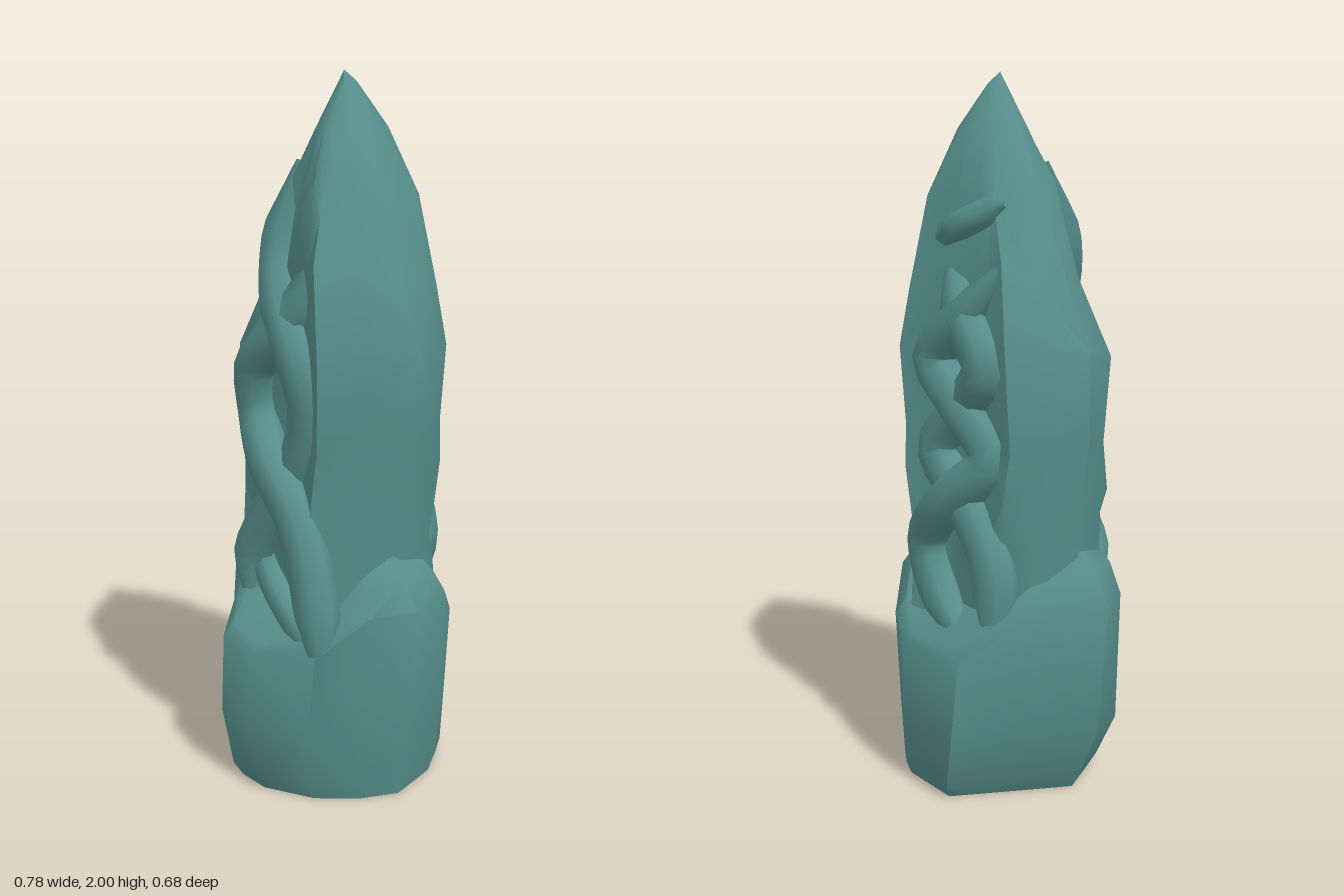
import * as THREE from 'three';
import { toCreasedNormals } from 'three/addons/utils/BufferGeometryUtils.js';

const V = (x, y, z) => new THREE.Vector3(x, y, z);

// Small seeded generator for the chipped, uneven stone
function seeded(s) {
  return () => {
    s = (s * 16807) % 2147483647;
    return s / 2147483647 - 0.5;
  };
}

// Skin rings of points (ordered +x towards +z, bottom to top), closed at both ends
function loft(rings, bottom, top, crease) {
  const n = rings[0].length;
  const pts = rings.flat().concat([bottom, top]);
  const idx = [];
  const b = pts.length - 2, t = pts.length - 1, last = (rings.length - 1) * n;
  for (let i = 0; i < n; i++) {
    const j = (i + 1) % n;
    for (let r = 0; r < rings.length - 1; r++) {
      const o = r * n, u = o + n;
      if ((i + r) % 2) idx.push(o + i, u + i, o + j, o + j, u + i, u + j);
      else idx.push(o + i, u + i, u + j, o + i, u + j, o + j);
    }
    idx.push(b, i, j, t, last + j, last + i);
  }
  const g = new THREE.BufferGeometry().setFromPoints(pts);
  g.setIndex(idx);
  return toCreasedNormals(g, crease);
}

// Carved strand: a tube whose ends taper into the stone
function strandGeometry(points, radius) {
  const curve = new THREE.CatmullRomCurve3(points.map((p) => V(...p)));
  const steps = 32, sides = 8;
  const g = new THREE.TubeGeometry(curve, steps, radius, sides);
  const pos = g.attributes.position;
  const p = V(0, 0, 0);
  for (let i = 0; i < pos.count; i++) {
    const t = Math.floor(i / (sides + 1)) / steps;
    const taper = Math.min(1, 0.2 + 6 * Math.min(t, 1 - t));
    const centre = curve.getPointAt(t);
    p.fromBufferAttribute(pos, i).sub(centre).multiplyScalar(taper).add(centre);
    pos.setXYZ(i, p.x, p.y, p.z);
  }
  return g;
}

export function createModel() {
  const group = new THREE.Group();
  const stone = new THREE.MeshStandardMaterial({ color: 0x568f8c });
  const add = (name, geometry, parent = group) => {
    const mesh = new THREE.Mesh(geometry, stone);
    mesh.name = name;
    parent.add(mesh);
  };

  // Rough boulder base: [x, z, rim height], high at the sides, low at front and back
  const outline = [
    [0.39, 0.03, 0.57], [0.33, 0.15, 0.54], [0.22, 0.26, 0.43], [0.03, 0.34, 0.4], [-0.11, 0.34, 0.42],
    [-0.2, 0.24, 0.5], [-0.3, 0.15, 0.56], [-0.39, -0.01, 0.57], [-0.26, -0.17, 0.53],
    [-0.12, -0.34, 0.42], [0.14, -0.31, 0.42], [0.22, -0.26, 0.45], [0.32, -0.15, 0.55]
  ];
  const baseRand = seeded(4711);
  const baseRing = (kx, kz, height, shift, rough) =>
    outline.map(([x, z, rim]) => {
      const edge = Math.abs(x) > 0.35 || Math.abs(z) > 0.33;
      const chip = edge ? 1 : 1 + baseRand() * rough;
      return V(x * kx * chip + shift, height(rim) + (edge ? 0 : baseRand() * rough), z * kz * chip);
    });
  add('rockBase', loft([
    baseRing(0.74, 0.89, () => 0, 0.03, 0),
    baseRing(0.78, 0.96, () => 0.04, 0.02, 0),
    baseRing(0.91, 1, () => 0.2, 0, 0.07),
    baseRing(1, 0.95, (rim) => rim, 0, 0.05),
    baseRing(0.87, 0.88, (rim) => rim + 0.03 + (rim - 0.4) * 0.3, 0, 0.04),
    baseRing(0.7, 0.72, (rim) => rim + 0.06 + (rim - 0.4) * 0.45, 0, 0.03)
  ], V(0.03, 0, 0), V(0, 0.72, 0), 0.8));

  // Standing stone: [y, left edge x, right edge x, front z, back z]
  const levels = [
    [0.36, -0.28, 0.28, 0.24, -0.24], [0.7, -0.28, 0.285, 0.25, -0.25],
    [0.86, -0.295, 0.3, 0.25, -0.25], [1.03, -0.32, 0.325, 0.24, -0.235],
    [1.27, -0.32, 0.35, 0.25, -0.255], [1.46, -0.225, 0.285, 0.235, -0.235],
    [1.67, -0.13, 0.22, 0.185, -0.185], [1.85, -0.045, 0.135, 0.095, -0.105],
    [1.97, 0.025, 0.075, 0.025, -0.025]
  ];
  // Cross-section with a shallow carved channel in front and back
  const section = [
    [1, 0], [0.83, 0.5], [0.62, 0.95], [0.36, 0.82], [0, 0.76], [-0.32, 0.8], [-0.55, 0.83], [-0.87, 0.45],
    [-1, -0.08], [-0.83, -0.48], [-0.6, -0.82], [-0.34, -0.8], [0, -0.76], [0.34, -0.82], [0.6, -0.95], [0.86, -0.5]
  ];
  const rand = seeded(9173);
  const bodyRings = levels.map(([y, x0, x1, zf, zb]) => {
    const mid = (x0 + x1) / 2, half = (x1 - x0) / 2;
    const fill = THREE.MathUtils.smoothstep(y, 1.55, 1.9);
    return section.map(([sx, sz]) => {
      const edge = Math.abs(sx) > 0.95;
      const chip = edge ? 1 : 1 + rand() * 0.11;
      const dy = !edge && y < 1.8 ? rand() * 0.1 : 0;
      const z = Math.abs(sx) < 0.5 ? THREE.MathUtils.lerp(sz, Math.sign(sz), fill) : sz;
      // the upper stone leans back along its -x flank
      const lean = sx < -0.2 && y > 1.4 ? 0.82 : 1;
      return V(mid + sx * half * chip, y + dy, z * chip * lean * (z > 0 ? zf : -zb));
    });
  });
  add('standingStone', loft(bodyRings, V(0, 0.36, 0), V(0.05, 2, 0.01), 0.85));

  // Intertwined strands carved into the front and back
  const carvings = {
    front: [
      [[0.2, 0.36, 0.22], [0.2, 0.56, 0.225], [0.12, 0.8, 0.225], [-0.01, 0.95, 0.225], [-0.1, 1.07, 0.19],
        [-0.09, 1.2, 0.205], [0.02, 1.31, 0.195], [0.1, 1.43, 0.16], [0.09, 1.6, 0.13]],
      [[-0.14, 0.46, 0.2], [-0.12, 0.64, 0.2], [-0.03, 0.8, 0.185], [0.07, 0.95, 0.175], [0.12, 1.1, 0.18],
        [0.1, 1.24, 0.205], [0.01, 1.38, 0.19], [-0.05, 1.52, 0.145], [-0.05, 1.76, 0.08]],
      [[0.19, 0.42, 0.2], [0.07, 0.5, 0.205], [-0.06, 0.6, 0.19], [-0.13, 0.74, 0.17]]
    ],
    back: [
      [[0.06, 0.4, 0.22], [-0.08, 0.56, 0.2], [-0.13, 0.7, 0.195], [-0.02, 0.84, 0.22], [0.11, 0.97, 0.18],
        [0, 1.11, 0.195], [-0.1, 1.23, 0.195], [0.02, 1.36, 0.185], [0.12, 1.5, 0.13]],
      [[0.13, 0.42, 0.21], [0.14, 0.66, 0.2], [0.02, 0.84, 0.19], [-0.1, 0.97, 0.18], [0, 1.1, 0.175],
        [0.1, 1.22, 0.195], [0, 1.36, 0.18], [-0.1, 1.52, 0.13]],
      [[-0.14, 1.54, 0.12], [-0.04, 1.59, 0.15], [0.08, 1.65, 0.1]]
    ]
  };
  for (const [face, strands] of Object.entries(carvings)) {
    const carving = new THREE.Group();
    carving.name = face + 'Carving';
    if (face === 'back') carving.rotation.y = Math.PI;
    strands.forEach((pts, i) => add('strand' + (i + 1), strandGeometry(pts, i < 2 ? 0.066 : 0.045), carving));
    group.add(carving);
  }
  return group;
}
